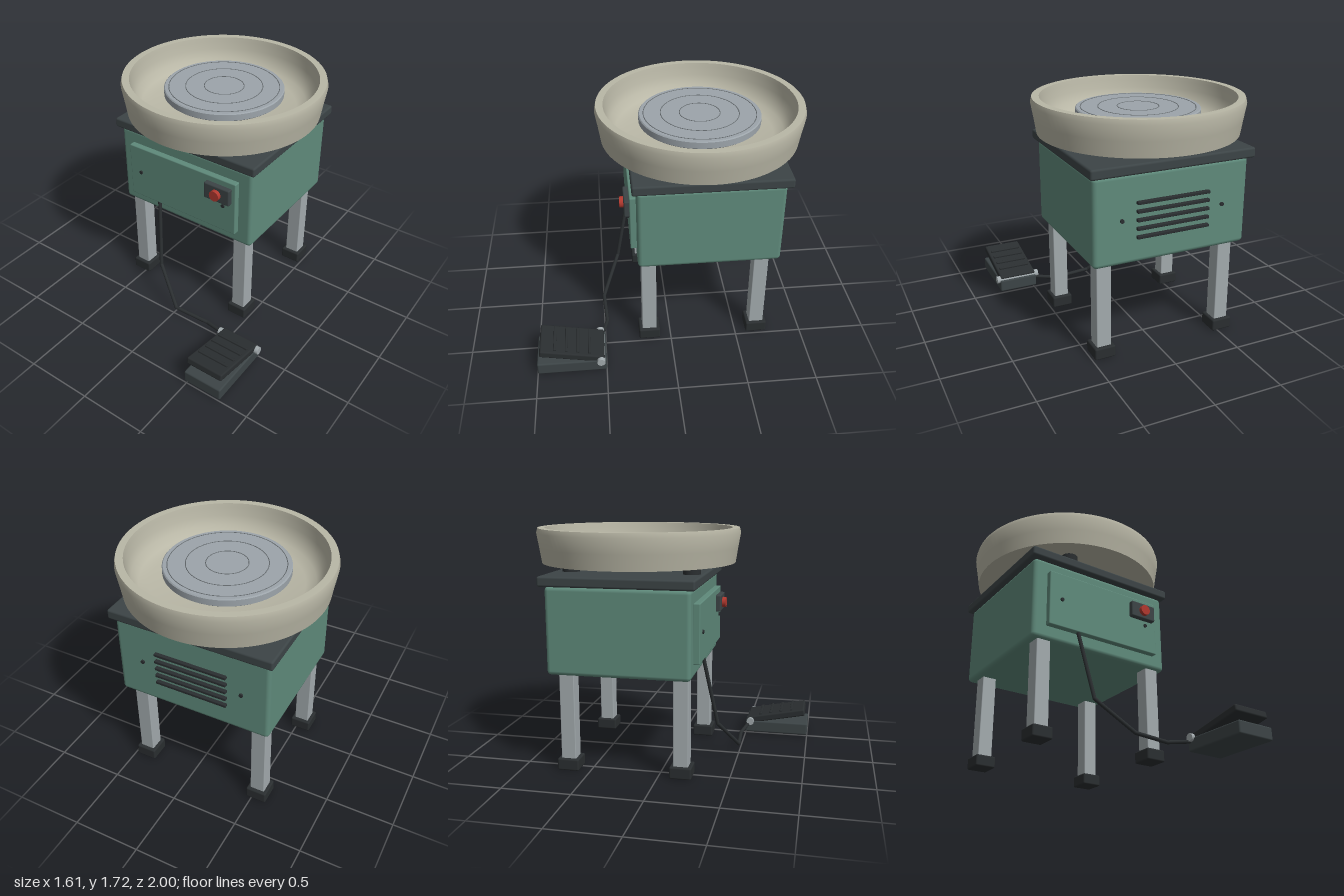
import * as THREE from 'three';
import { RoundedBoxGeometry } from 'three/addons/geometries/RoundedBoxGeometry.js';
import { toCreasedNormals } from 'three/addons/utils/BufferGeometryUtils.js';

const paint = (color) => new THREE.MeshStandardMaterial({ color });
const green = paint(0x5f8a7b);
const charcoal = paint(0x3c4446);
const rubber = paint(0x2a2e30);
const steel = paint(0xa2aaad);
const headMetal = paint(0x9ca4aa);
const groove = paint(0x6a7074);
const cream = paint(0xb9b7a6);
const red = paint(0xb0382e);

const CX = -0.065, CZ = -0.255; // wheel axis

export function createModel() {
  const model = new THREE.Group();
  model.name = 'potteryWheel';

  const add = (name, geometry, material, x, y, z, parent = model) => {
    const mesh = new THREE.Mesh(geometry, material);
    mesh.name = name;
    mesh.position.set(x, y, z);
    parent.add(mesh);
    return mesh;
  };
  // rounded box given by its min and max on each axis
  const block = (name, material, [x0, x1], [y0, y1], [z0, z1], r, parent) =>
    add(name, new RoundedBoxGeometry(x1 - x0, y1 - y0, z1 - z0, 2, r), material,
      (x0 + x1) / 2, (y0 + y1) / 2, (z0 + z1) / 2, parent);
  const drum = (name, material, r, y0, y1, x, z) =>
    add(name, new THREE.CylinderGeometry(r, r, y1 - y0, 48), material, x, (y0 + y1) / 2, z);
  // short cylinder lying along z
  const stud = (name, material, r, depth, x, y, z) => {
    add(name, new THREE.CylinderGeometry(r, r, depth, 24), material, x, y, z).rotation.x = Math.PI / 2;
  };

  // cabinet and table top
  block('cabinet', green, [-0.64, 0.51], [0.715, 1.34], [-0.787, 0.24], 0.03);
  block('tableTop', charcoal, [-0.67, 0.54], [1.34, 1.412], [-0.825, 0.273], 0.015);

  // front panel with switch and screws
  block('frontPanel', green, [-0.535, 0.405], [0.815, 1.24], [0.235, 0.285], 0.008);
  block('switchBox', charcoal, [0.163, 0.375], [1.068, 1.195], [0.27, 0.322], 0.01);
  stud('switchButton', red, 0.04, 0.05, 0.268, 1.13, 0.325);

  for (const side of [-1, 1]) {
    stud('frontScrew', rubber, 0.014, 0.02, CX + side * 0.37, 1.03, 0.285);
    stud('backScrew', rubber, 0.014, 0.02, CX + side * 0.375, 1.03, -0.79);
  }

  // back vents
  for (let i = 0; i < 5; i++) {
    const y = 0.9 + i * 0.06;
    block('backVent', rubber, [CX - 0.27, CX + 0.27], [y - 0.011, y + 0.011], [-0.812, -0.78], 0.005);
  }

  // legs with rubber feet
  for (const x of [CX - 0.47, CX + 0.47]) {
    for (const z of [-0.66, 0.162]) {
      block('leg', steel, [x - 0.054, x + 0.054], [0.06, 0.73], [z - 0.054, z + 0.054], 0.006);
      block('foot', rubber, [x - 0.077, x + 0.077], [0.003, 0.09], [z - 0.079, z + 0.079], 0.012);
    }
  }

  // basin on three spacers
  for (let i = 0; i < 3; i++) {
    const a = (i * Math.PI * 2) / 3;
    drum('basinSpacer', rubber, 0.063, 1.4, 1.48, CX + 0.51 * Math.cos(a), CZ + 0.51 * Math.sin(a));
  }
  const basinProfile = [
    [0.2, 1.47], [0.71, 1.47], [0.727, 1.58], [0.745, 1.685], [0.736, 1.72], [0.684, 1.72],
    [0.678, 1.69], [0.668, 1.63], [0.645, 1.565], [0.6, 1.52], [0.53, 1.497], [0.2, 1.49],
  ].map(([r, y]) => new THREE.Vector2(r, y));
  const basin = add('basin', toCreasedNormals(new THREE.LatheGeometry(basinProfile, 96), 0.7), cream, CX, 0, CZ);
  basin.material.side = THREE.DoubleSide;

  // hub and wheel head with ring grooves
  drum('hub', headMetal, 0.22, 1.4, 1.585, CX, CZ);
  const headProfile = [[0, 1.575], [0.427, 1.575], [0.437, 1.583], [0.437, 1.628], [0.43, 1.635], [0, 1.635]]
    .map(([r, y]) => new THREE.Vector2(r, y));
  add('wheelHead', toCreasedNormals(new THREE.LatheGeometry(headProfile, 96), 0.5), headMetal, CX, 0, CZ);
  for (const r of [0.145, 0.28, 0.402]) {
    add('ringGroove', new THREE.TorusGeometry(r, 0.003, 6, 96), groove, CX, 1.635, CZ).rotation.x = Math.PI / 2;
  }

  // foot pedal
  block('pedalBase', charcoal, [0.48, 0.782], [0.013, 0.108], [0.498, 1], 0.012);
  const pedal = new THREE.Group();
  pedal.name = 'pedal';
  pedal.position.set(0.631, 0.155, 0.745);
  pedal.rotation.x = -0.2;
  model.add(pedal);
  block('pedalPlate', rubber, [-0.145, 0.145], [-0.027, 0.027], [-0.235, 0.235], 0.012, pedal);
  for (let i = 0; i < 4; i++) {
    const z = -0.122 + i * 0.084;
    block('pedalRidge', rubber, [-0.122, 0.122], [0.02, 0.04], [z - 0.01, z + 0.01], 0.004, pedal);
  }
  add('pedalHinge', new THREE.CylinderGeometry(0.029, 0.029, 0.345, 32), steel, 0.631, 0.106, 0.538)
    .rotation.z = Math.PI / 2;

  // cable from cabinet to pedal, in straight runs with round joints
  const path = [
    [-0.29, 0.85, 0.26], [-0.215, 0.3, 0.367], [0.025, 0.068, 0.497],
    [0.31, 0.058, 0.48], [0.5, 0.085, 0.525],
  ].map((p) => new THREE.Vector3(...p));
  const cable = new THREE.Group();
  cable.name = 'cable';
  model.add(cable);
  for (let i = 0; i < path.length - 1; i++) {
    const run = new THREE.LineCurve3(path[i], path[i + 1]);
    add('cableRun', new THREE.TubeGeometry(run, 1, 0.014, 12), rubber, 0, 0, 0, cable);
    if (i) add('cableJoint', new THREE.SphereGeometry(0.014, 12, 8), rubber, ...path[i].toArray(), cable);
  }

  return model;
}
